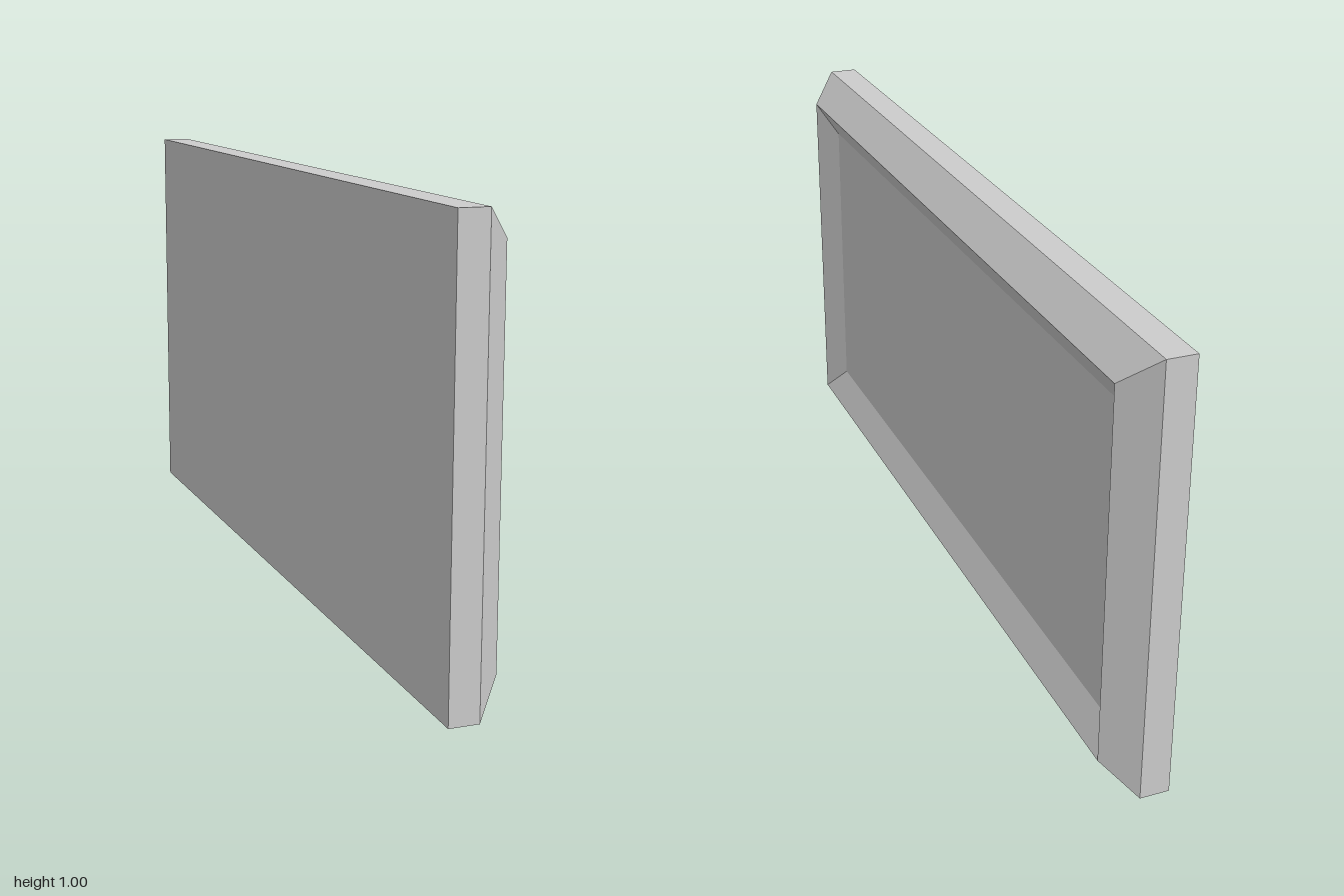
import * as THREE from 'three';

const HALF_W = 1, HALF_H = 0.5;

// Four corners of a rectangle inset from the outer border, facing +x
const ring = (x, inset) => {
  const w = HALF_W - inset, h = HALF_H - inset;
  return [[x, -h, w], [x, -h, -w], [x, h, -w], [x, h, w]];
};

// Flat-shaded mesh from a list of quads
function quadMesh(name, quads, material) {
  const pos = quads.flatMap(([a, b, c, d]) => [a, b, c, a, c, d]).flat();
  const geo = new THREE.BufferGeometry();
  geo.setAttribute('position', new THREE.Float32BufferAttribute(pos, 3));
  geo.computeVertexNormals();
  const mesh = new THREE.Mesh(geo, material);
  mesh.name = name;
  return mesh;
}

// Band of four quads joining two rings
const band = (a, b) => a.map((p, i) => {
  const j = (i + 1) % 4;
  return [p, a[j], b[j], b[i]];
});

export function createModel() {
  const grey = new THREE.MeshStandardMaterial({ color: 0xcccccc });
  grey.name = 'lightGrey';

  const back = ring(-0.067, 0);      // rear border
  const edge = ring(0, 0);           // where the outer bevel starts
  const ridge = ring(0.067, 0.067);  // raised rim
  const inner = ring(0.027, 0.136);  // border of the recessed panel

  const group = new THREE.Group();
  group.name = 'framedPanel';
  group.add(
    quadMesh('backPlate', [[...back].reverse()], grey),
    quadMesh('sideWalls', band(back, edge), grey),
    quadMesh('outerBevel', band(edge, ridge), grey),
    quadMesh('innerBevel', band(ridge, inner), grey),
    quadMesh('recessedPanel', [inner], grey),
  );
  group.position.y = HALF_H;
  return group;
}
